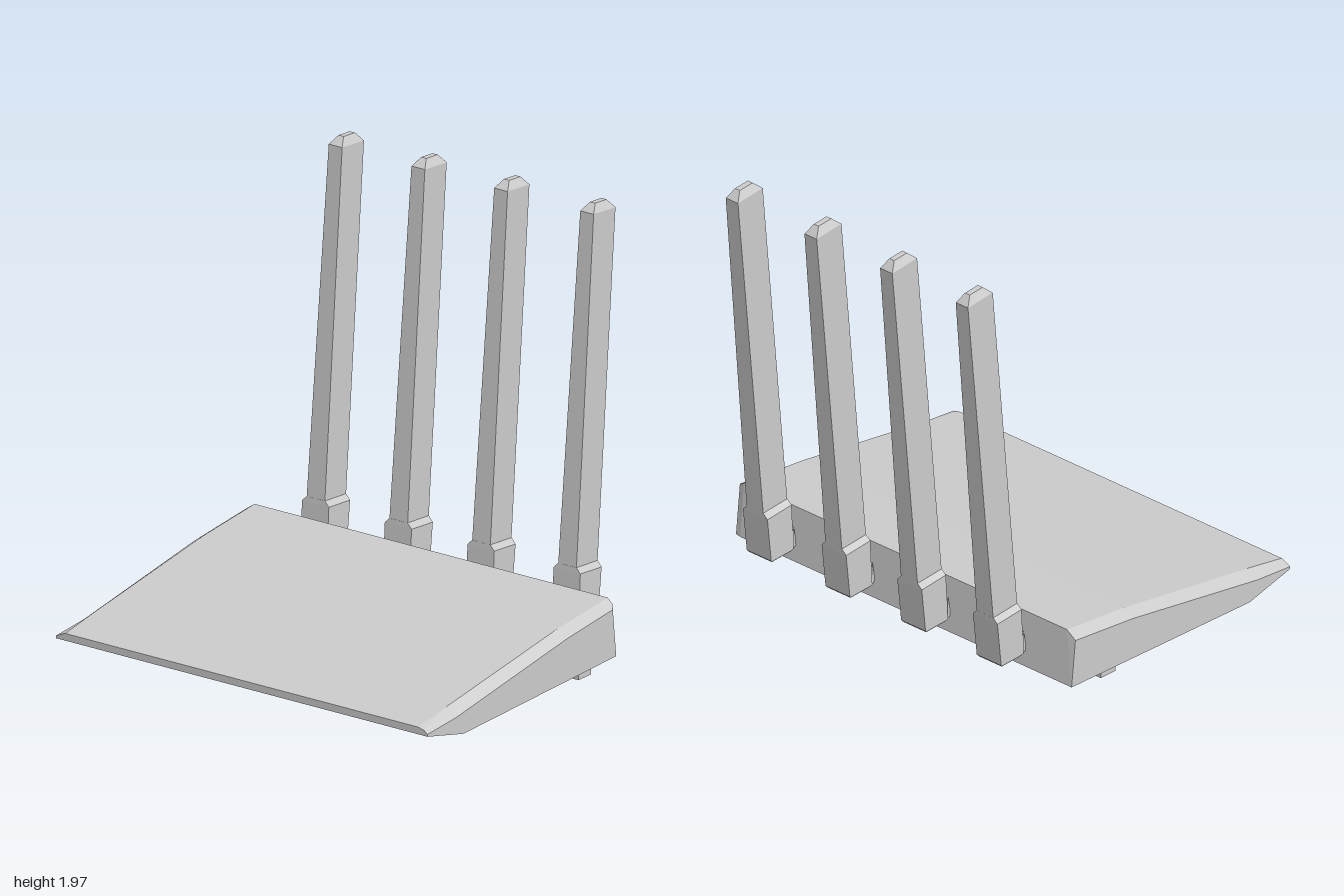
import * as THREE from 'three';

const material = new THREE.MeshStandardMaterial({ color: 0xcccccc, flatShading: true });

// Closed skin over matching loops of [x, y, z] points, capped at both ends
function loft(name, loops) {
  const n = loops[0].length, last = (loops.length - 1) * n, index = [];
  for (let i = 0; i < loops.length - 1; i++) {
    for (let j = 0; j < n; j++) {
      const k = (j + 1) % n, a = i * n, b = a + n;
      index.push(a + j, a + k, b + k, a + j, b + k, b + j);
    }
  }
  for (let j = 1; j < n - 1; j++) {
    index.push(0, j + 1, j, last, last + j, last + j + 1);
  }
  const indexed = new THREE.BufferGeometry();
  indexed.setAttribute('position', new THREE.Float32BufferAttribute(loops.flat(2), 3));
  indexed.setIndex(index);
  const geometry = indexed.toNonIndexed();
  geometry.computeVertexNormals();
  const mesh = new THREE.Mesh(geometry, material);
  mesh.name = name;
  return mesh;
}

// Upright rectangle section: left and right x with their heights, half depth
const rect = (x0, y0, x1, y1, h) => [[x0, y0, h], [x1, y1, h], [x1, y1, -h], [x0, y0, -h]];

// Wedge side profile; drop lowers the top edge, inset pulls in the rear wall
const section = (z, edge, inset) => [
  [-0.6, 0.01, z],
  [0.514 - inset, 0.042, z],
  [0.49 - inset, edge ? 0.262 : 0.297, z],
  [0.13, edge ? 0.225 : 0.26, z],
  [-0.65, edge ? 0.1 : 0.14, z],
  [-0.855, edge ? 0.083 : 0.105, z],
  [-0.855, 0.072, z],
  [-0.82, 0.064, z],
];

function createAntenna(z) {
  const antenna = new THREE.Group();
  antenna.name = 'antenna';
  antenna.position.z = z;
  antenna.add(
    // Hinge block tapering toward the casing
    loft('hinge', [[0.5, 0.12], [0.515, 0.21]].map(([x, y]) => [
      [x, y, 0.05], [0.54, y, 0.07], [0.6, y, 0.07],
      [0.6, y, -0.07], [0.54, y, -0.07], [x, y, -0.05],
    ])),
    // Wide socket with chamfered foot and shoulder
    loft('socket', [
      rect(0.552, 0.112, 0.67, 0.107, 0.066),
      rect(0.54, 0.122, 0.68, 0.118, 0.072),
      rect(0.553, 0.342, 0.704, 0.33, 0.072),
      rect(0.555, 0.365, 0.706, 0.354, 0.049),
    ]),
    // Leaning tapered blade with a bevelled tip
    loft('blade', [
      rect(0.555, 0.355, 0.705, 0.345, 0.049),
      rect(0.695, 1.938, 0.85, 1.925, 0.036),
      rect(0.735, 1.972, 0.815, 1.966, 0.014),
    ]),
  );
  return antenna;
}

export function createModel() {
  const model = new THREE.Group();
  model.name = 'router';

  // Wedge casing with bevelled sides and one softened rear corner
  model.add(loft('casing', [
    section(-1, true, 0),
    section(-0.95, false, 0),
    section(0.95, false, 0),
    section(0.98, true, 0.006).map((p, i) => (i > 1 && i < 6 ? [p[0], p[1] + 0.014, p[2]] : p)),
    section(1, true, 0.03),
  ]));

  // Feet near the rear on both sides
  for (const side of [-1, 1]) {
    const foot = new THREE.Mesh(new THREE.BoxGeometry(0.09, 0.045, 0.1), material);
    foot.name = 'foot';
    foot.position.set(0.275, 0.028, side * 0.94);
    model.add(foot);
  }

  // Row of antennas along the rear edge
  for (const z of [-0.67, -0.225, 0.22, 0.683]) model.add(createAntenna(z));
  return model;
}
